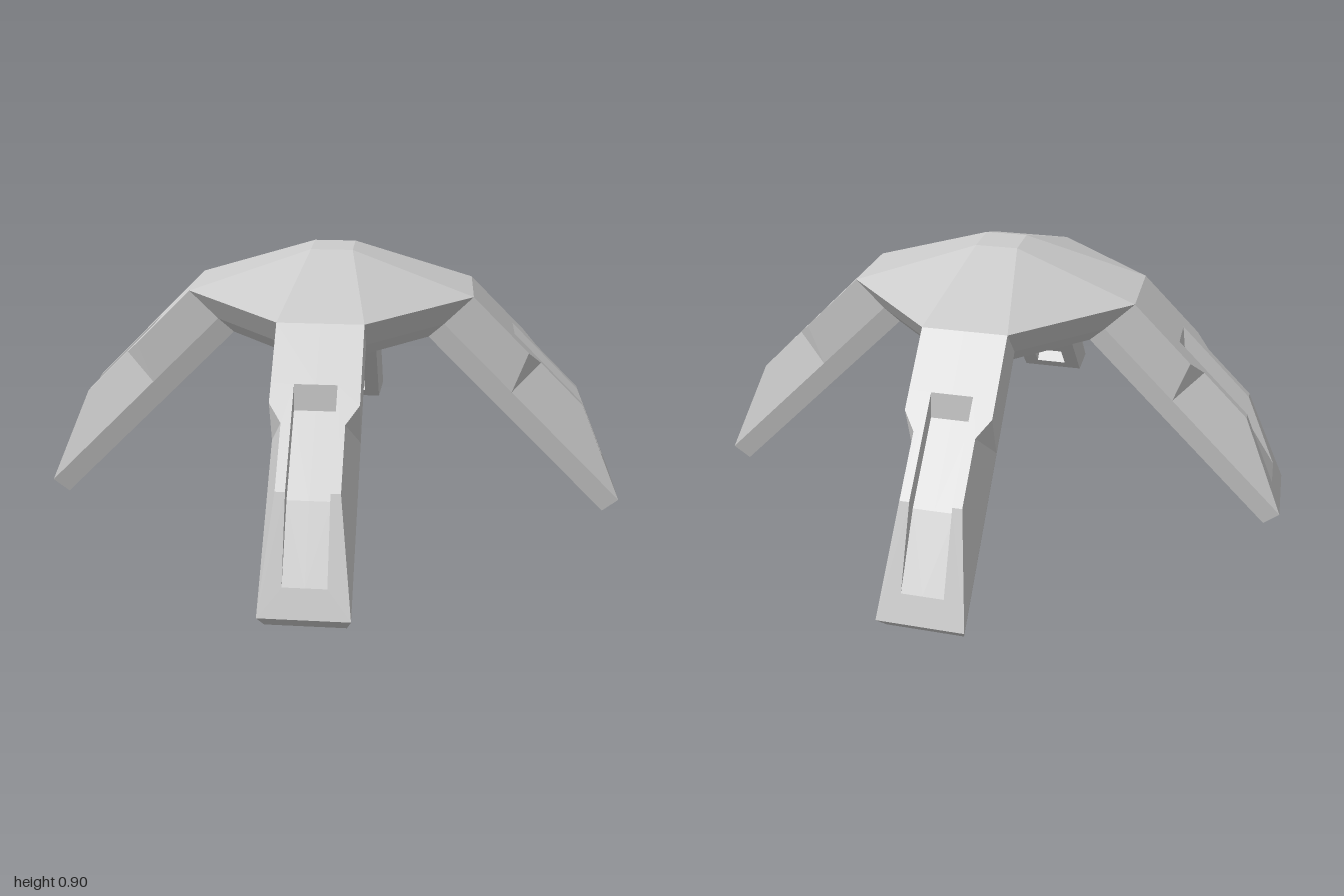
import * as THREE from 'three';

const material = new THREE.MeshStandardMaterial({ color: 0xcccccc, flatShading: true });

// Collects flat polygons, each mirrored in z; dir is the rough outward direction.
function mirroredMesh(name, faces) {
  const out = [];
  for (const s of [1, -1]) {
    for (const [dir, ...pts] of faces) {
      const v = pts.map(([x, y, z]) => new THREE.Vector3(x, y, z * s));
      const d = new THREE.Vector3(dir[0], dir[1], dir[2] * s);
      for (let i = 1; i < v.length - 1; i++) {
        const tri = [v[0], v[i], v[i + 1]];
        const n = tri[1].clone().sub(tri[0]).cross(tri[2].clone().sub(tri[0]));
        if (n.dot(d) < 0) tri.reverse();
        tri.forEach((p) => out.push(p.x, p.y, p.z));
      }
    }
  }
  const geo = new THREE.BufferGeometry();
  geo.setAttribute('position', new THREE.Float32BufferAttribute(out, 3));
  geo.computeVertexNormals();
  const mesh = new THREE.Mesh(geo, material);
  mesh.name = name;
  return mesh;
}

// Point on the centre plane of a leg
const mid = ([x, y]) => [x, y, 0];

// Directions
const UP = [0, 1, 0], DOWN = [0, -1, 0], SIDE = [0, 0, 1], IN = [0, 0, -1];
const OVER = [1, 1, 0], UNDER = [-1, -1, 0], FOOT = [1, -1, 0], INNER = [-1, 1, 0];

// Leg root section, shared with the hub
const T0 = [0.475, 0.765, 0.135], M0 = [0.38, 0.67, 0.135], B0 = [0.33, 0.62, 0.12];
const G0 = [0.33, 0.62, 0.06], H0 = [0.35, 0.67, 0.06];

function makeLeg() {
  // Upper edge, with the pinched waist
  const Tx = [0.62, 0.62, 0.135], T1 = [0.665, 0.575, 0.135], T2 = [0.71, 0.53, 0.095];
  const T3 = [0.86, 0.38, 0.095], T4 = [1, 0.05, 0.135];
  // Widest line along the side, and lower edge
  const M1 = [0.57, 0.48, 0.135], M2 = [0.615, 0.435, 0.135], M3 = [0.765, 0.285, 0.135];
  const B4 = [0.95, 0, 0.12];
  // Upper slot: rim and floor
  const S0 = [0.62, 0.62, 0.065], S1 = [0.86, 0.38, 0.065], S2 = [0.965, 0.1325, 0.065];
  const F0 = [0.63, 0.54, 0.065], F1 = [0.83, 0.34, 0.065];
  // Groove underneath: rim and ceiling at the foot end
  const G1 = [0.91, 0.04, 0.06], H1 = [0.945, 0.075, 0.06];

  return mirroredMesh('leg', [
    // top
    [OVER, T0, Tx, mid(Tx), mid(T0)],
    [OVER, S0, Tx, T1, T2, T3, S1],
    [OVER, S1, T3, T4, S2],
    [OVER, S2, T4, mid(T4), mid(S2)],
    // slot
    [IN, S0, S1, F1, F0],
    [IN, S1, S2, F1],
    [OVER, S0, F0, mid(F0), mid(S0)],
    [OVER, F0, F1, mid(F1), mid(F0)],
    [OVER, F1, S2, mid(S2), mid(F1)],
    // sides
    [SIDE, T0, M0, M1, T1],
    [SIDE, T1, M1, M2, T2],
    [SIDE, T2, M2, M3, T3],
    [SIDE, T3, M3, T4],
    [SIDE, M0, T4, B4, B0],
    // foot
    [FOOT, T4, mid(T4), mid(B4), B4],
    // underside and its groove
    [UNDER, B0, B4, G1, G0],
    [UNDER, B4, mid(B4), mid(G1), G1],
    [IN, G0, G1, H1, H0],
    [INNER, G1, mid(G1), mid(H1), H1],
    [UNDER, H0, H1, mid(H1), mid(H0)],
  ]);
}

function makeHubQuarter() {
  const K = [0.07, 0.9, 0.07];
  // Middle of the slanted side between two legs
  const half = ([x, y, z]) => [(x + z) / 2, y, (x + z) / 2];
  const D = half(T0), Dm = half(M0), Db = half(B0);
  const C = [0.06, 0.62, 0.06], R = [0.06, 0.67, 0.06];
  return mirroredMesh('hubQuarter', [
    // roof
    [UP, [0, 0.9, 0], mid(K), K],
    [UP, T0, mid(T0), mid(K), K],
    [UP, T0, D, K],
    // slanted sides
    [[1, -0.5, 1], T0, M0, Dm, D],
    [[1, -0.5, 1], M0, B0, Db, Dm],
    // underside with the crossing grooves
    [DOWN, B0, Db, C, G0],
    [IN, G0, C, R, H0],
    [DOWN, [0, 0.67, 0], R, H0, mid(H0)],
  ]);
}

export function createModel() {
  const model = new THREE.Group();
  model.name = 'fourLeggedStand';
  const hub = new THREE.Group();
  hub.name = 'hub';
  model.add(hub);

  const leg = makeLeg(), quarter = makeHubQuarter();
  ['left', 'back', 'right', 'front'].forEach((side, i) => {
    const l = leg.clone(), q = quarter.clone();
    l.name = side + 'Leg';
    q.name = side + 'HubQuarter';
    l.rotation.y = q.rotation.y = (i * Math.PI) / 2;
    model.add(l);
    hub.add(q);
  });
  return model;
}
